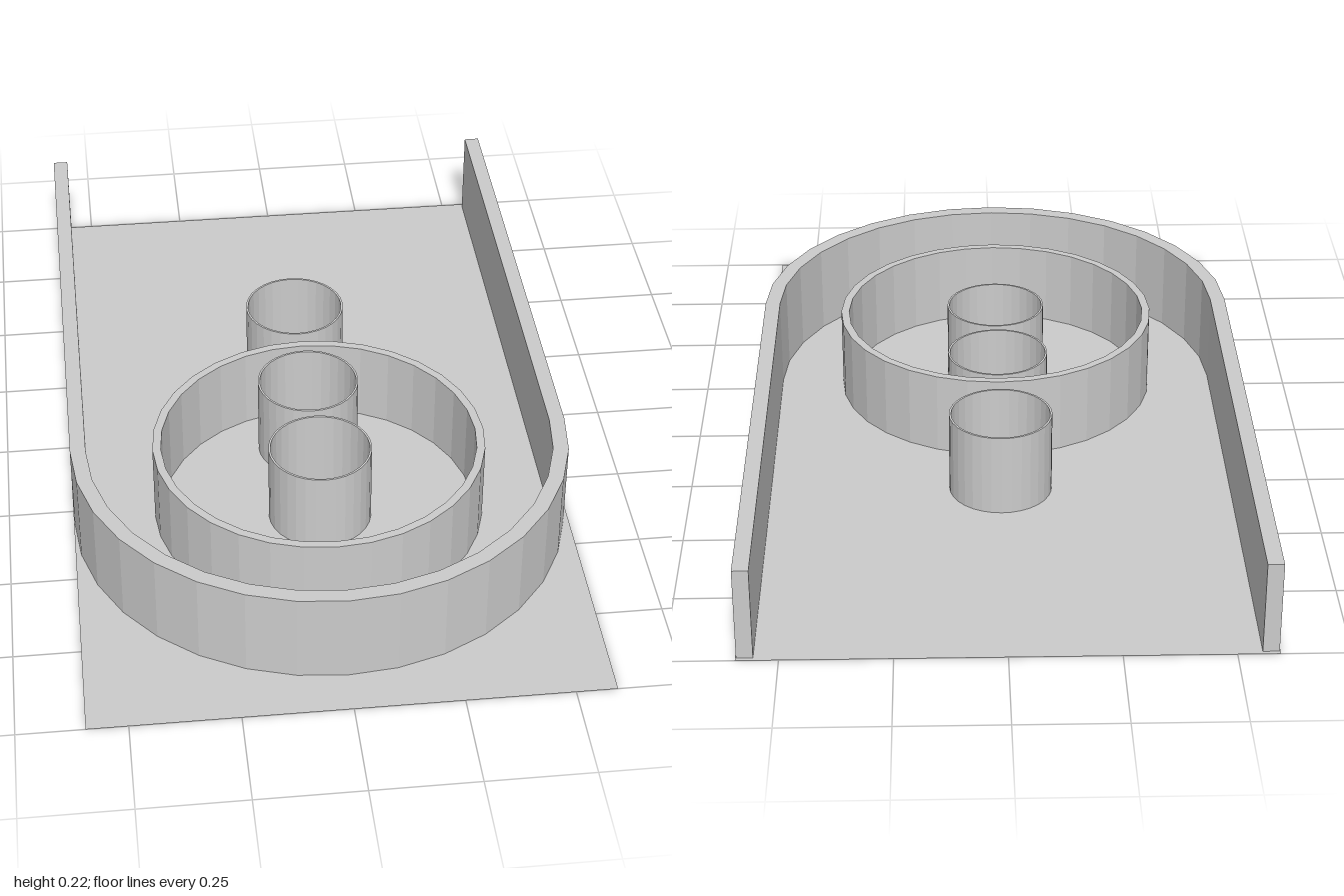
import * as THREE from 'three';

const material = new THREE.MeshStandardMaterial({ color: 0xcccccc, flatShading: true });
const floorMaterial = new THREE.MeshStandardMaterial({ color: 0xcccccc, side: THREE.DoubleSide });

// Plan shapes are drawn with x right and -z up, then laid flat.
function addPart(group, name, geometry, mat = material) {
  geometry.rotateX(-Math.PI / 2);
  const mesh = new THREE.Mesh(geometry, mat);
  mesh.name = name;
  group.add(mesh);
}

function extrude(shape, height, curveSegments) {
  return new THREE.ExtrudeGeometry(shape, { depth: height, bevelEnabled: false, curveSegments });
}

function circlePath(PathType, z, radius) {
  return new PathType().absarc(0, -z, radius, 0, Math.PI * 2, false);
}

function tube(z, outer, inner, height) {
  const shape = circlePath(THREE.Shape, z, outer);
  shape.holes.push(circlePath(THREE.Path, z, inner));
  return extrude(shape, height, 16);
}

export function createModel() {
  const group = new THREE.Group();

  // Paper-thin floor with a round drain hole
  const floor = new THREE.Shape();
  floor.moveTo(-0.595, -1).lineTo(0.595, -1).lineTo(0.595, 1).lineTo(-0.595, 1).closePath();
  floor.holes.push(circlePath(THREE.Path, 0.77, 0.07));
  addPart(group, 'floor', new THREE.ShapeGeometry(floor, 16), floorMaterial);

  // U-shaped wall: straight sides, half-round front, open back
  const outer = 0.593, inner = 0.556, back = 0.99, arcY = -0.298;
  const wall = new THREE.Shape();
  wall.moveTo(outer, back).lineTo(outer, arcY);
  wall.absarc(0, arcY, outer, 0, -Math.PI, true);
  wall.lineTo(-outer, back).lineTo(-inner, back).lineTo(-inner, arcY);
  wall.absarc(0, arcY, inner, Math.PI, Math.PI * 2, false);
  wall.lineTo(inner, back).closePath();
  addPart(group, 'outerWall', extrude(wall, 0.223, 8));

  // Inner ring
  addPart(group, 'innerRing', tube(0.288, 0.398, 0.378, 0.204));

  // Three thin hollow posts along the centre line
  [-0.267, 0.053, 0.32].forEach((z, i) => {
    addPart(group, `hollowPost${i + 1}`, tube(z, 0.124, 0.119, 0.203));
  });

  return group;
}
